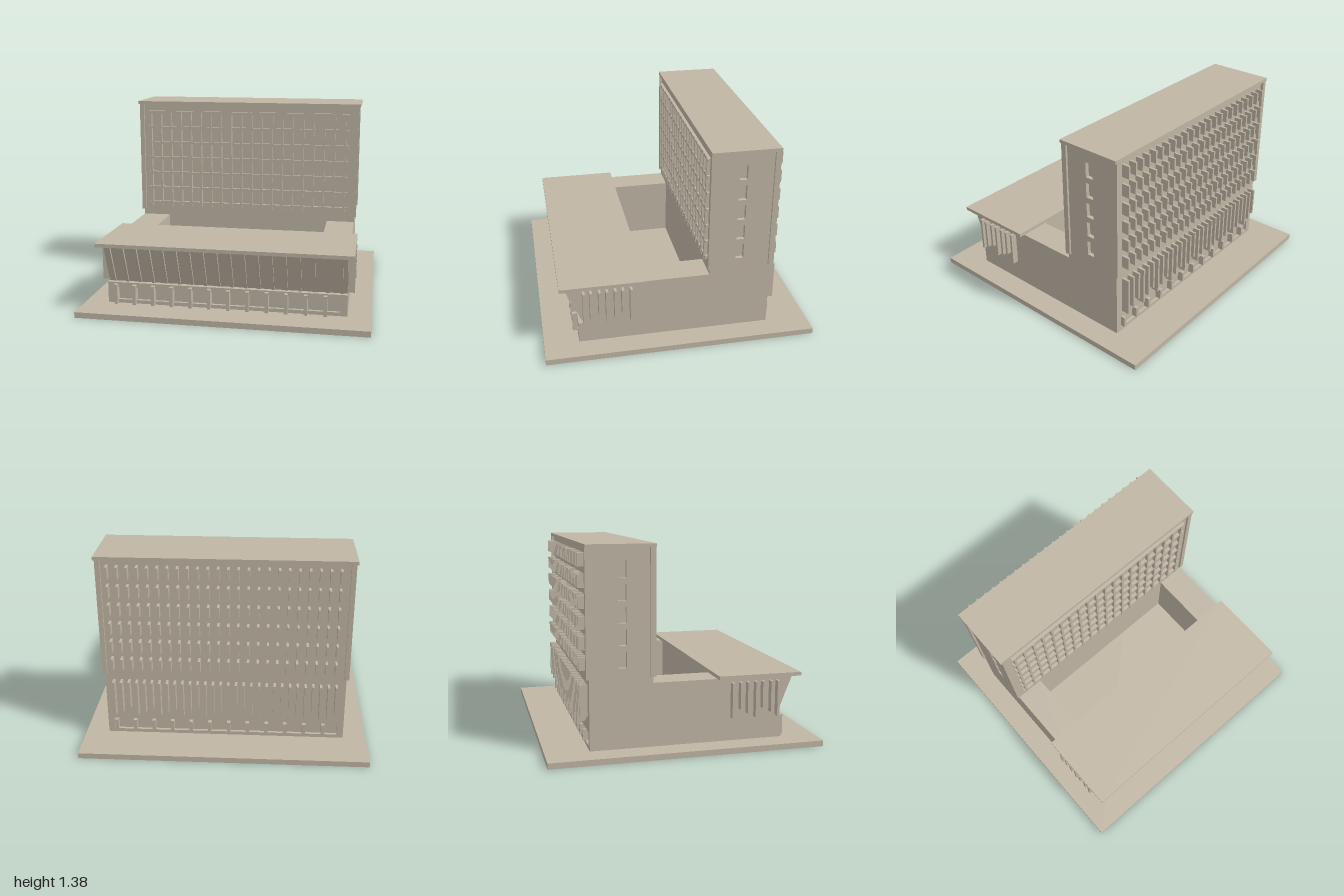
import * as THREE from 'three';

const concrete = new THREE.MeshStandardMaterial({ color: 0xbfb5a4 });
concrete.name = 'warm concrete';

export function createModel() {
  const model = new THREE.Group();
  model.name = 'officeBuilding';

  const add = (name, geometry, parent = model) => {
    const mesh = new THREE.Mesh(geometry, concrete);
    mesh.name = name;
    parent.add(mesh);
    return mesh;
  };
  const group = (name) => {
    const g = new THREE.Group();
    g.name = name;
    model.add(g);
    return g;
  };
  // Box given by its limits on each axis
  const box = (name, x0, x1, y0, y1, z0, z1, parent) => {
    const g = new THREE.BoxGeometry(x1 - x0, y1 - y0, z1 - z0);
    g.translate((x0 + x1) / 2, (y0 + y1) / 2, (z0 + z1) / 2);
    return add(name, g, parent);
  };
  const outline = (points) => new THREE.Shape(points.map(([a, b]) => new THREE.Vector2(a, b)));
  const rect = (a0, a1, b0, b1) => [[a0, b0], [a1, b0], [a1, b1], [a0, b1]];
  const extrude = (shape, depth) => new THREE.ExtrudeGeometry(shape, { depth, bevelEnabled: false });
  // Side profile in (z, y), extruded from x0 to x1
  const alongX = (shape, x0, x1) => extrude(shape, x1 - x0).rotateY(-Math.PI / 2).translate(x1, 0, 0);

  // Ground slab and roofs
  box('groundSlab', -1, 1, 0, 0.04, -0.933, 0.933);
  box('frontRoof', -0.88, 0.88, 0.472, 0.497, 0.228, 0.813);
  box('towerRoof', -0.865, 0.865, 1.357, 1.38, -0.66, -0.197);

  // Solid cores around the open courtyard
  box('towerCore', -0.81, 0.81, 0.04, 1.357, -0.62, -0.213);
  add('frontBlock', alongX(outline([[0.24, 0.04], [0.67, 0.04], [0.67, 0.19],
    [0.655, 0.19], [0.765, 0.472], [0.24, 0.472]]), -0.81, 0.81));

  // Side walls with recessed tower windows, and side wings
  const side = outline([[-0.64, 0.04], [0.67, 0.04], [0.67, 0.19], [0.655, 0.19],
    [0.765, 0.472], [-0.213, 0.472], [-0.213, 1.357], [-0.64, 1.357]]);
  for (let i = 0; i < 5; i++) {
    const y = 0.58 + i * 0.1465;
    side.holes.push(outline(rect(-0.446, -0.39, y, y + 0.106)));
  }
  for (const s of [-1, 1]) {
    add('sideWall', alongX(side, s > 0 ? 0.81 : -0.838, s > 0 ? 0.838 : -0.81));
    box('sideWing', Math.min(s * 0.63, s * 0.81), Math.max(s * 0.63, s * 0.81), 0.04, 0.472, -0.213, 0.24);
  }

  // Ground floor front wall and tower back wall, each with a recessed band
  const frontWall = outline(rect(-0.838, 0.838, 0.04, 0.19));
  frontWall.holes.push(outline(rect(-0.795, 0.79, 0.065, 0.155)));
  add('groundFloorWall', extrude(frontWall, 0.022).translate(0, 0, 0.67));
  const backWall = outline(rect(-0.81, 0.81, 0.04, 1.357));
  backWall.holes.push(outline(rect(-0.79, 0.795, 0.065, 0.155)));
  add('towerBackWall', extrude(backWall, 0.02).translate(0, 0, -0.64));

  // Corner strips of the tower
  const strips = group('cornerStrips');
  for (const x of [-0.853, 0.82]) {
    for (const z of [-0.66, -0.235]) box('cornerStrip', x, x + 0.033, 0.516, 1.357, z, z + 0.037, strips);
  }

  // Window lattice on the tower front
  const lattice = group('windowLattice');
  for (let i = 0; i < 20; i++) {
    const x = -0.765 + i * 0.08;
    box('mullion', x - 0.008, x + 0.008, 0.55, 1.305, -0.22, -0.187, lattice);
  }
  for (let i = 0; i < 7; i++) {
    const y = 0.576 + i * 0.12;
    box('sill', -0.787, 0.783, y - 0.01, y + 0.01, -0.22, -0.191, lattice);
  }

  // Leaning fins under the front roof
  const fins = group('leaningFins');
  const fin = outline([[0.64, 0.19], [0.667, 0.19], [0.785, 0.472], [0.75, 0.472]]);
  for (let i = 0; i < 18; i++) {
    const x = -0.797 + i * 0.0938;
    add('leaningFin', alongX(fin, x - 0.01, x + 0.01), fins);
  }

  // Pillars on the ground floor, front and back
  const pillars = group('groundPillars');
  for (let i = 0; i < 12; i++) {
    const x = -0.775 + i * 0.1333;
    box('frontPillar', x - 0.012, x + 0.012, 0.04, 0.18, 0.66, 0.724, pillars);
    box('backPillar', -x - 0.012, -x + 0.012, 0.075, 0.15, -0.662, -0.61, pillars);
  }

  // Hanging fins of uneven length on both sides of the front block
  const sideFins = group('sideFins');
  const bottoms = [0.2, 0.23, 0.26];
  [0.652, 0.605, 0.546, 0.496, 0.439, 0.388, 0.331].forEach((z, i) => {
    for (const s of [-1, 1]) {
      const x = s > 0 ? 0.83 : -0.882;
      box('sideFin', x, x + 0.052, bottoms[i % 3], 0.445, z - 0.009, z + 0.009, sideFins);
    }
  });

  // Sunshade fins on the back: six short rows above, one tall row below
  const backFins = group('backFins');
  for (let i = 0; i < 24; i++) {
    const x = 0.775 - i * 0.0667;
    for (let r = 0; r < 6; r++) {
      const y = 0.562 + r * 0.1345;
      box('shortFin', x - 0.008, x + 0.008, y, y + 0.087, -0.695, -0.635, backFins);
    }
  }
  for (let i = 0; i < 30; i++) {
    const x = 0.775 - i * 0.0533;
    box('tallFin', x - 0.008, x + 0.008, bottoms[i % 3], 0.47, -0.695, -0.635, backFins);
  }

  return model;
}
